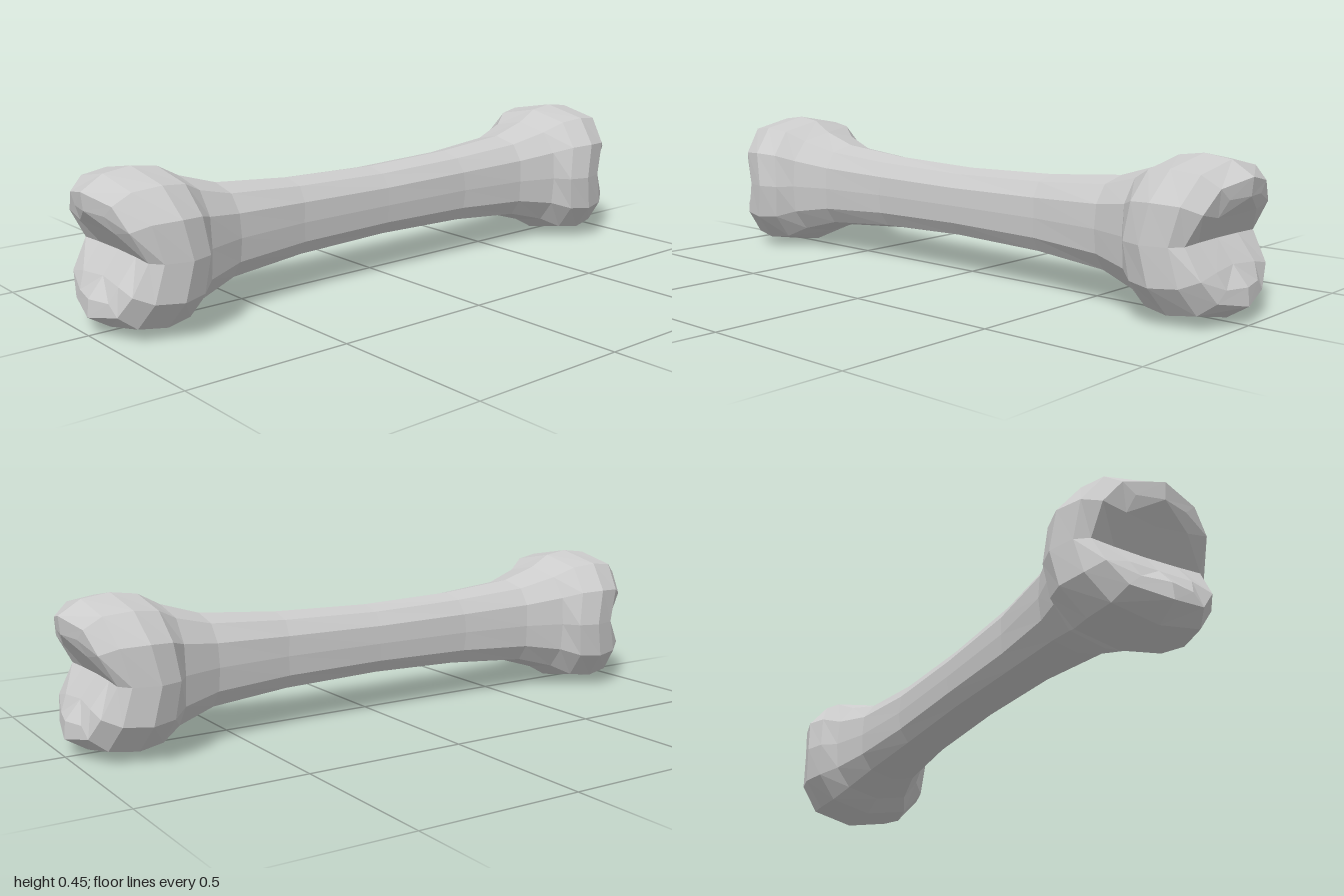
import * as THREE from 'three';

const MID_Y = 0.227;

// Quarter outline from top to side: [z, y] as fractions of half width and half height
const ROUND = [[0, 1], [0.665, 0.868], [0.957, 0.5], [1, 0]];
const BOXY = [[0, 1], [0.81, 0.975], [0.98, 0.59], [1, 0]];

// Half-bone rings from the middle out: x at the side, x at the top, half height, half width
const RINGS = [
  [0, 0, 0.112, 0.096],
  [0.335, 0.325, 0.121, 0.099],
  [0.575, 0.58, 0.142, 0.124],
  [0.7, 0.7, 0.179, 0.166],
  [0.735, 0.768, 0.216, 0.214],
  [0.8, 0.848, 0.227, 0.236],
  [0.877, 0.933, 0.216, 0.214],
  [0.905, 1.0, 0.175, 0.178],
  [0.9, 0.995, 0.123, 0.102, BOXY],
];

// Twelve points round the bone, from the top towards +z; the ends bow outwards above and below
function ringPoints([sideX, topX, h, w, outline = ROUND], dir) {
  const points = [];
  for (let i = 0; i < 12; i++) {
    const half = i > 6 ? 12 - i : i;
    const [fz, fy] = outline[half > 3 ? 6 - half : half];
    const bulge = topX > 0.99 && fy > 0.8 && fy < 1 ? 0.015 : 0;
    const x = sideX + (topX - sideX) * fy - bulge;
    points.push([dir * x, MID_Y + (half > 3 ? -fy : fy) * h, (i > 6 ? -fz : fz) * w]);
  }
  return points;
}

function boneGeometry() {
  const verts = [];
  const index = [];
  const quad = (a, b, c, d, flip) =>
    flip ? index.push(a, c, b, a, d, c) : index.push(a, b, c, a, c, d);

  const rings = [
    ...RINGS.slice(1).reverse().map((r) => ringPoints(r, -1)),
    ...RINGS.map((r) => ringPoints(r, 1)),
  ];
  rings.forEach((ring) => verts.push(...ring));

  // Shaft and knuckles
  for (let r = 0; r < rings.length - 1; r++) {
    for (let i = 0; i < 12; i++) {
      const j = (i + 1) % 12;
      quad(r * 12 + i, r * 12 + j, r * 12 + 12 + j, r * 12 + 12 + i);
    }
  }

  // Notched ends, closed across a middle column of points
  for (const dir of [-1, 1]) {
    const base = dir < 0 ? 0 : (rings.length - 1) * 12;
    const c = verts.length;
    verts.push([dir * 0.947, MID_Y + 0.066, 0], [dir * 0.897, MID_Y, 0], [dir * 0.947, MID_Y - 0.066, 0]);
    const column = [base, c, c + 1, c + 2, base + 6];
    for (let k = 0; k < 4; k++) {
      quad(column[k], base + k + 1, base + k + 2, column[k + 1], dir < 0);
      quad(column[k], column[k + 1], base + 10 - k, base + 11 - k, dir < 0);
    }
  }

  const geometry = new THREE.BufferGeometry();
  geometry.setAttribute('position', new THREE.Float32BufferAttribute(verts.flat(), 3));
  geometry.setIndex(index);
  const flat = geometry.toNonIndexed();
  flat.computeVertexNormals();
  return flat;
}

export function createModel() {
  const group = new THREE.Group();
  group.name = 'bone';
  const material = new THREE.MeshStandardMaterial({ color: 0xcccccc, flatShading: true });
  const bone = new THREE.Mesh(boneGeometry(), material);
  bone.name = 'boneBody';
  group.add(bone);
  return group;
}
